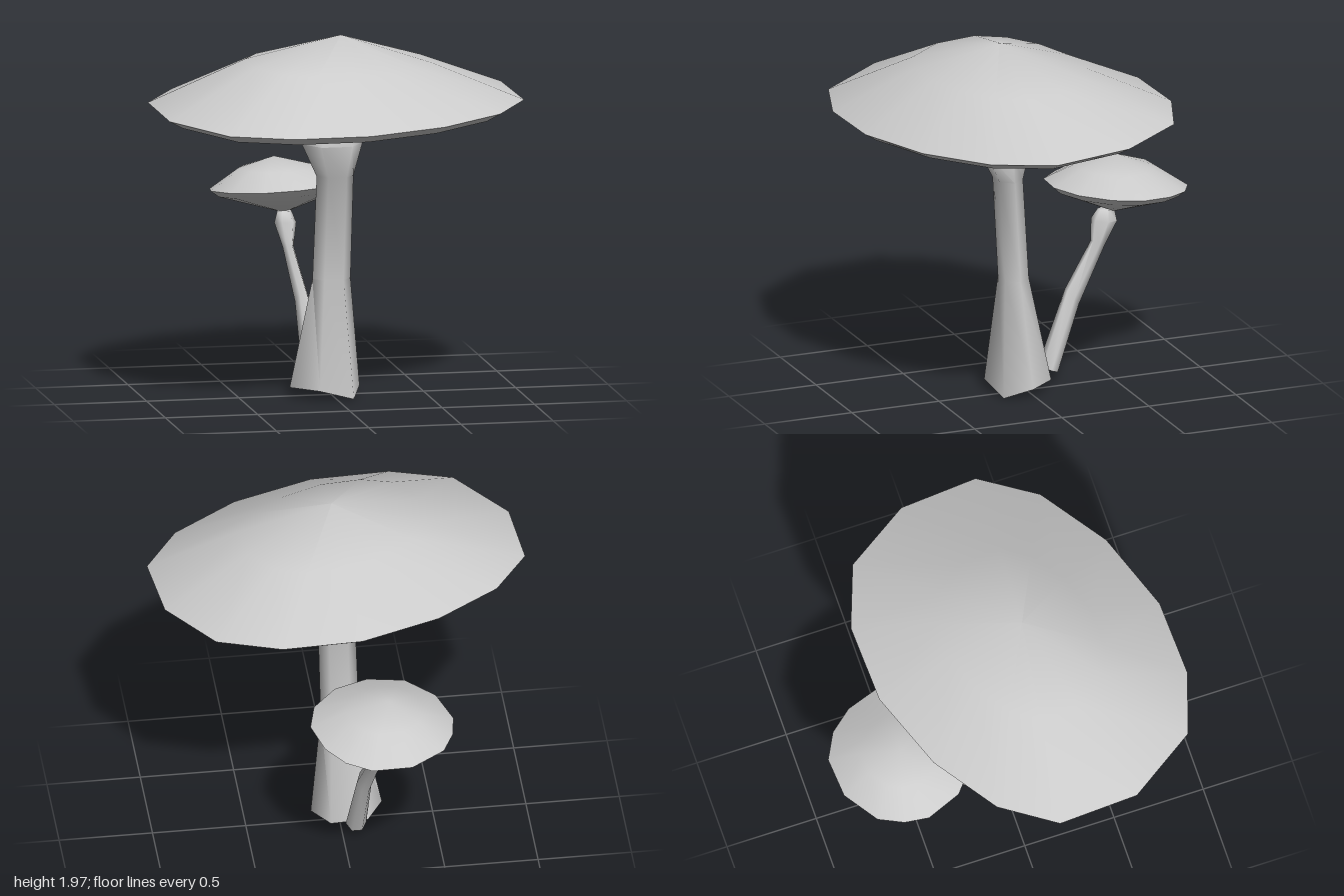
import * as THREE from 'three';
import { toCreasedNormals } from 'three/addons/utils/BufferGeometryUtils.js';

// Skin a stack of rings from bottom to top; a ring of one point closes an end
function loft(name, rings, crease) {
  const pos = [];
  const tri = (...pts) => pts.forEach(p => pos.push(...p));
  for (let r = 0; r < rings.length - 1; r++) {
    const lo = rings[r], up = rings[r + 1];
    const n = Math.max(lo.length, up.length);
    for (let i = 0; i < n; i++) {
      const j = (i + 1) % n;
      if (lo.length === 1) tri(lo[0], up[i], up[j]);
      else if (up.length === 1) tri(lo[i], up[0], lo[j]);
      else {
        tri(lo[i], up[i], up[j]);
        tri(lo[i], up[j], lo[j]);
      }
    }
  }
  const geo = new THREE.BufferGeometry();
  geo.setAttribute('position', new THREE.Float32BufferAttribute(pos, 3));
  const mesh = new THREE.Mesh(
    toCreasedNormals(geo, crease),
    new THREE.MeshStandardMaterial({ color: 0xcccccc })
  );
  mesh.name = name;
  return mesh;
}

// Six-sided stem ring, tilted along z by slope
function hexRing([cx, cy, cz, rx, rz, slope = 0]) {
  return Array.from({ length: 6 }, (_, i) => {
    const a = i * Math.PI / 3;
    const dz = -Math.sin(a) * rz / 0.866;
    return [cx - Math.cos(a) * rx, cy + dz * slope, cz + dz];
  });
}

function stem(name, rings) {
  const centre = ring => [0, 1, 2].map(k => ring.reduce((s, p) => s + p[k], 0) / ring.length);
  return loft(name, [[centre(rings[0])], ...rings, [centre(rings.at(-1))]], 1.3);
}

// Shallow pointed cap: underside point, inner lip, rim, shoulder, peak
function cap(name, { outline, rimY, shoulderY, peak, under, lip, drop, shoulder }) {
  const scaled = (c, s, y) => outline.map(([x, z]) => {
    const px = c[0] + (x - c[0]) * s, pz = c[2] + (z - c[2]) * s;
    return [px, y(px, pz), pz];
  });
  return loft(name, [
    [under],
    scaled(under, lip, (x, z) => rimY(x, z) - drop),
    scaled(under, 1, rimY),
    scaled(peak, shoulder, shoulderY),
    [peak],
  ], 0.65);
}

export function createModel() {
  const model = new THREE.Group();

  // Large mushroom
  const large = new THREE.Group();
  large.name = 'largeMushroom';
  const base = [
    [-0.235, 0.055, 0.05], [-0.14, 0.06, -0.11], [0.06, 0.06, -0.12],
    [0.15, 0.05, 0.02], [0.09, 0, 0.165], [-0.1, 0.055, 0.2],
  ];
  large.add(stem('largeStem', [
    base,
    ...[
      [-0.012, 0.64, 0.068, 0.103, 0.068],
      [0, 1.2, 0.105, 0.1, 0.067],
      [-0.02, 1.38, 0.128, 0.165, 0.127],
      [-0.02, 1.47, 0.115, 0.11, 0.09],
    ].map(hexRing),
  ]));
  large.add(cap('largeCap', {
    outline: [
      [-1, 0.03], [-0.81, -0.26], [-0.47, -0.5], [-0.04, -0.66], [0.39, -0.675],
      [0.73, -0.55], [0.96, -0.2], [1, 0.23], [0.81, 0.53], [0.46, 0.78],
      [0.03, 0.935], [-0.39, 0.95], [-0.72, 0.84], [-0.97, 0.47],
    ],
    rimY: (x, z) => 1.615 - 0.06 * z - 0.005 * x,
    shoulderY: (x, z) => 1.832 - 0.04 * z - 0.035 * x,
    peak: [0.02, 1.97, 0.16],
    under: [-0.02, 1.455, 0.13],
    lip: 0.92, drop: 0.045, shoulder: 0.5,
  }));

  // Small mushroom leaning backwards
  const small = new THREE.Group();
  small.name = 'smallMushroom';
  small.add(stem('smallStem', [
    [-0.07, 0.08, -0.155, 0.055, 0.045, 0.44],
    [-0.095, 0.455, -0.302, 0.04, 0.033, 1.2],
    [-0.138, 0.72, -0.467, 0.03, 0.033, 0.5],
    [-0.145, 0.845, -0.507, 0.06, 0.063, 0.1],
    [-0.148, 0.905, -0.52, 0.038, 0.04],
  ].map(hexRing)));
  small.add(cap('smallCap', {
    outline: [
      [-0.54, -0.55], [-0.52, -0.68], [-0.455, -0.81], [-0.27, -0.935], [-0.055, -0.952],
      [0.08, -0.88], [0.175, -0.76], [0.23, -0.58], [0.19, -0.42], [0.06, -0.28],
      [-0.12, -0.21], [-0.32, -0.23], [-0.47, -0.36],
    ],
    rimY: (x, z) => 1.035 + 0.08 * (z + 0.58) + 0.05 * (x + 0.155),
    shoulderY: (x, z) => 1.13 + 0.04 * (z + 0.58) + 0.02 * (x + 0.155),
    peak: [-0.19, 1.19, -0.59],
    under: [-0.14, 0.887, -0.56],
    lip: 0.89, drop: 0.035, shoulder: 0.55,
  }));

  model.add(large, small);
  return model;
}
